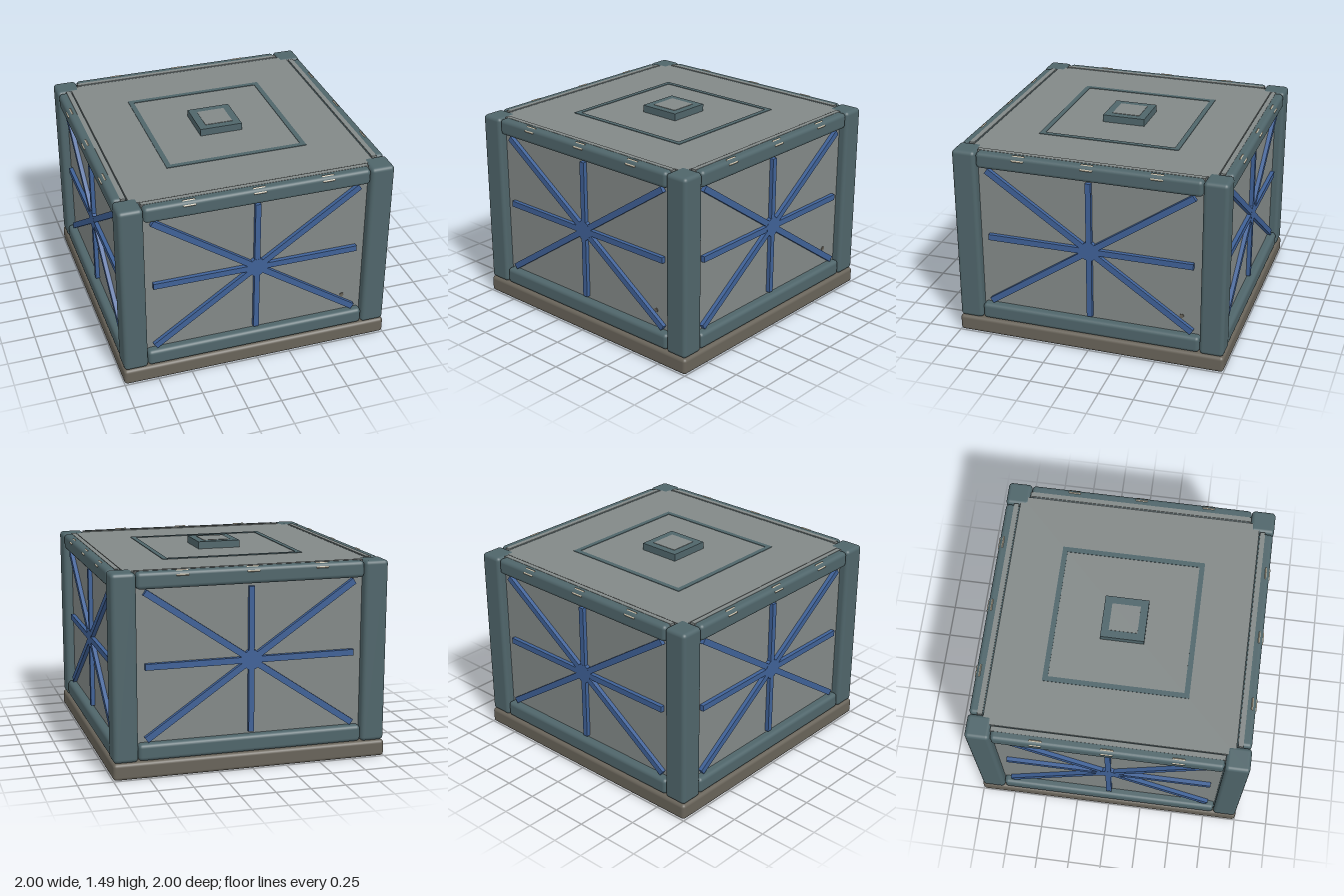
import * as THREE from 'three';
import { RoundedBoxGeometry } from 'three/addons/geometries/RoundedBoxGeometry.js';

const mat = (name, color) => {
  const m = new THREE.MeshStandardMaterial({ color });
  m.name = name;
  return m;
};

export function createModel() {
  const frame = mat('teal frame', 0x4f656a);
  const panel = mat('grey panel', 0x828887);
  const brown = mat('brown base', 0x686359);
  const blue = mat('blue brace', 0x3f6197);
  const beige = mat('beige clip', 0xbcb39f);

  const model = new THREE.Group();
  model.name = 'crate';

  const add = (parent, name, geo, material, x = 0, y = 0, z = 0) => {
    const m = new THREE.Mesh(geo, material);
    m.name = name;
    m.position.set(x, y, z);
    parent.add(m);
    return m;
  };
  const rounded = (w, h, d, r) => new RoundedBoxGeometry(w, h, d, 3, r);
  const box = (w, h, d) => new THREE.BoxGeometry(w, h, d);

  // Base slab
  add(model, 'base', rounded(2, 0.12, 2, 0.025), brown, 0, 0.06, 0);

  // Corner posts
  for (const x of [-1, 1]) for (const z of [-1, 1])
    add(model, 'cornerPost', rounded(0.175, 1.32, 0.175, 0.028), frame, x * 0.9075, 0.78, z * 0.9075);

  // Lid
  add(model, 'lid', box(1.77, 0.08, 1.77), panel, 0, 1.397, 0);

  // Thin square inlay on the lid
  const inlay = new THREE.Shape();
  const square = (path, r) => path.moveTo(-r, -r).lineTo(r, -r).lineTo(r, r).lineTo(-r, r).closePath();
  square(inlay, 0.52);
  const hole = new THREE.Path();
  square(hole, 0.483);
  inlay.holes.push(hole);
  const inlayGeo = new THREE.ExtrudeGeometry(inlay, { depth: 0.006, bevelEnabled: false });
  inlayGeo.rotateX(-Math.PI / 2);
  add(model, 'lidInlay', inlayGeo, frame, 0, 1.435, 0);

  // Raised cap with a grey plate
  add(model, 'cap', box(0.315, 0.06, 0.315), frame, 0, 1.46, 0);
  add(model, 'capPlate', box(0.205, 0.004, 0.205), panel, 0, 1.491, 0);

  // Clip outline, tapered towards both long edges
  const clipShape = new THREE.Shape();
  clipShape.moveTo(-0.042, -0.024).lineTo(0.042, -0.024).lineTo(0.055, 0)
    .lineTo(0.042, 0.024).lineTo(-0.042, 0.024).lineTo(-0.055, 0).closePath();
  const clipGeo = new THREE.ExtrudeGeometry(clipShape, { depth: 0.02, bevelEnabled: false });

  // Four identical sides
  const angle = Math.atan2(1.035, 1.51);
  for (let i = 0; i < 4; i++) {
    const side = new THREE.Group();
    side.name = ['frontSide', 'leftSide', 'backSide', 'rightSide'][i];
    side.rotation.y = i * Math.PI / 2;
    model.add(side);

    add(side, 'wall', box(1.64, 1.32, 0.036), panel, 0, 0.782, 0.912);
    add(side, 'lowerRail', rounded(1.635, 0.12, 0.11, 0.028), frame, 0, 0.182, 0.935);
    add(side, 'upperRail', rounded(1.635, 0.118, 0.11, 0.028), frame, 0, 1.381, 0.935);

    // Star brace
    const star = new THREE.Group();
    star.name = 'starBrace';
    star.position.set(0, 0.78, 0.942);
    side.add(star);
    add(star, 'verticalBar', box(0.04, 1.04, 0.036), blue);
    add(star, 'horizontalBar', box(1.515, 0.044, 0.036), blue);
    for (const s of [-1, 1])
      add(star, 'diagonalBar', box(1.83, 0.045, 0.036), blue).rotation.z = s * angle;
    const hub = add(star, 'hub', new THREE.CylinderGeometry(0.073, 0.073, 0.037, 8), blue);
    hub.rotation.set(Math.PI / 2, Math.PI / 8, 0);

    // Clips over the upper rail edge
    for (const x of [-0.5, 0, 0.5])
      add(side, 'clip', clipGeo, beige, x, 1.415, 0.965).rotation.x = -Math.PI / 4;

    // Small stain on two of the walls
    if (i < 2) {
      const stain = add(side, 'stain', new THREE.CylinderGeometry(0.016, 0.016, 0.006, 8), brown, 0.675, 0.37, 0.932);
      stain.rotation.x = Math.PI / 2;
    }
  }
  return model;
}
